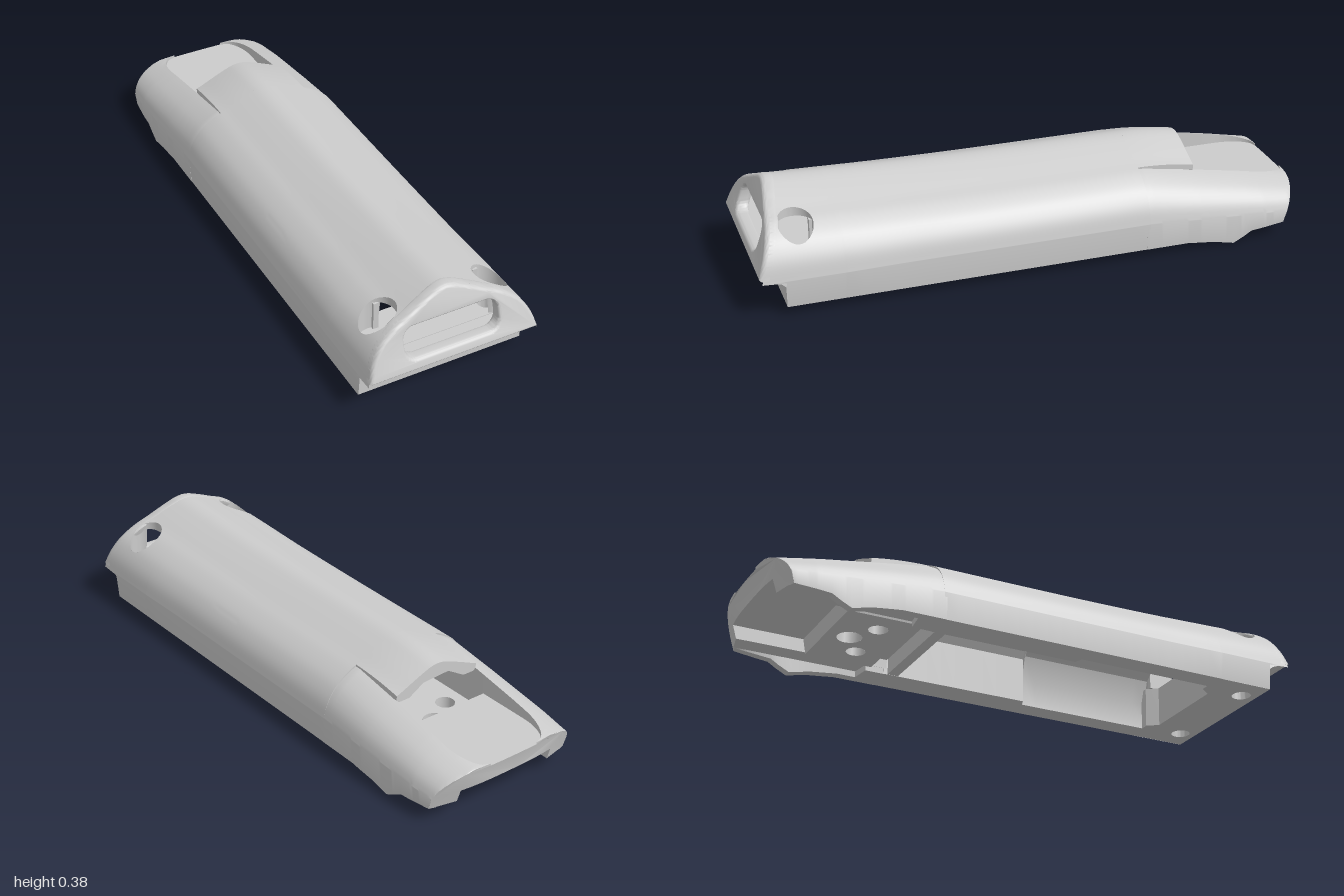
import * as THREE from 'three';
import { toCreasedNormals } from 'three/addons/utils/BufferGeometryUtils.js';

const mat = new THREE.MeshStandardMaterial({ color: 0xcccccc, side: THREE.DoubleSide });

// piecewise linear lookup in [[key, value], ...] with rising keys
function lerpTable(t, k) {
  if (k <= t[0][0]) return t[0][1];
  for (let i = 1; i < t.length; i++) {
    if (k <= t[i][0]) {
      const [a, b] = [t[i - 1], t[i]];
      return a[1] + (b[1] - a[1]) * (k - a[0]) / (b[0] - a[0]);
    }
  }
  return t[t.length - 1][1];
}
const range = (a, b, n) => Array.from({ length: n + 1 }, (_, i) => a + (b - a) * i / n);

// dome profile: relative height against relative half width
const domeTable = new THREE.SplineCurve([[0, 1], [0.025, 0.987], [0.05, 0.95], [0.1, 0.86], [0.15, 0.762], [0.2, 0.67],
  [0.25, 0.525], [0.28, 0.375], [0.3, 0.21], [0.313, 0]].map(([x, h]) => new THREE.Vector2(x / 0.313, h)))
  .getPoints(160).map(p => [p.x, p.y]);
const halfWidth = z => lerpTable([[-1, 0.296], [-0.85, 0.308], [-0.6, 0.313], [0.5, 0.313], [0.7, 0.317]], z);
const domeH = (x, z) => lerpTable(domeTable, Math.min(1, Math.abs(x) / halfWidth(z)));
const domeY = (x, z) => 0.13 + domeH(x, z) * (0.225 + 0.0295 * Math.min(0.92, Math.max(0, z)) ** 2);
const bottomY = z => lerpTable([[-0.93, 0.05], [-0.8, 0.038], [-0.77, 0.02], [-0.73, 0], [-0.65, 0.018], [-0.55, 0.03]], z);
const frontZ = y => 1 - (y - 0.15) * 0.348;

// rear flanks sink towards the tail
const rearY = (x, z) => {
  const base = lerpTable([[-1, 0.09], [-0.4, 0.13]], z);
  const seam = lerpTable([[-1, 0.18], [-0.8, 0.22], [-0.6, 0.255], [-0.42, 0.285]], z);
  return base + Math.min(1, domeH(x, z) / 0.72) * (seam - base);
};
// recessed deck: height, and half width with rounded rear corners
const deckY = z => (z < -0.655 ? 0.172 : 0.11);
const deckW = z => 0.1 + 0.074 * Math.sqrt(Math.max(0, 1 - (Math.max(0, -0.86 - z) / 0.14) ** 2));

// Loft columns {x(z), y(x,z)} over stations zs; grid points inside a round hole move to its rim
function loft(cols, zs, { closed = false, holes = [], limit = (x, y, z) => z } = {}) {
  const pos = [], inside = [], idx = [], n = cols.length;
  for (const z0 of zs) {
    for (const c of cols) {
      let z = z0, x = c.x(z0), cut = false;
      for (const [hx, hz, r] of holes) {
        const d = Math.hypot(x - hx, z - hz);
        if (d < r && d > 0) {
          x = hx + (x - hx) * r / d;
          z = hz + (z - hz) * r / d;
          cut = true;
        } else if (d === 0) { x += r; cut = true; }
      }
      const y = c.y(x, z);
      pos.push(x, y, limit(x, y, z));
      inside.push(cut);
    }
  }
  const tri = (a, b, c) => { if (!(inside[a] && inside[b] && inside[c])) idx.push(a, b, c); };
  for (let j = 0; j < zs.length - 1; j++) {
    for (let i = 0; i < (closed ? n : n - 1); i++) {
      const a = j * n + i, b = j * n + (i + 1) % n;
      tri(a, b, a + n);
      tri(b, b + n, a + n);
    }
  }
  for (const j of closed ? [0, zs.length - 1] : []) {
    const ring = range(0, n - 1, n - 1).map(i => new THREE.Vector2(pos[(j * n + i) * 3], pos[(j * n + i) * 3 + 1]));
    for (const t of THREE.ShapeUtils.triangulateShape(ring, [])) idx.push(...t.map(i => j * n + i));
  }
  const g = new THREE.BufferGeometry();
  g.setAttribute('position', new THREE.Float32BufferAttribute(pos, 3));
  g.setIndex(idx);
  return toCreasedNormals(g, 0.5);
}

const shapeOf = pts => new THREE.Shape(pts.map(p => new THREE.Vector2(...p)));
const mirrored = pts => [...pts, ...pts.slice().reverse().map(([x, y]) => [-x, y])];
function moveVertices(g, rule) {
  const p = g.attributes.position, v = new THREE.Vector3();
  for (let i = 0; i < p.count; i++) {
    rule(v.fromBufferAttribute(p, i));
    p.setXYZ(i, v.x, v.y, v.z);
  }
  return toCreasedNormals(g, 0.5);
}

export function createModel() {
  const group = new THREE.Group();
  const add = (name, g) => {
    const m = new THREE.Mesh(g, mat);
    m.name = name;
    group.add(m);
    return m;
  };

  // outer skin columns, from left edge over the ridge to right edge
  const sideCols = s => [
    { x: () => s * 0.309, y: (x, z) => bottomY(z) },
    { x: z => s * halfWidth(z), y: () => 0.125 }];
  const skin = [...sideCols(1),
    ...range(1, -1, 64).map(t => ({ x: z => halfWidth(z) * Math.sin(t * Math.PI / 2), y: domeY })),
    ...sideCols(-1).reverse()];

  // main body: outer skin, bottom rails and the hollow beneath
  const frontHollow = [[0.23, 0.03], [0.23, 0.13], [0.2, 0.215], [0.13, 0.27], [0.05, 0.295]];
  const rearHollow = [[0.2, 0.03], [0.2, 0.2], [0.17, 0.245], [0.12, 0.245], [0.05, 0.285]];
  const a = mirrored(frontHollow), b = mirrored(rearHollow);
  const hollow = a.map((p, i) => ({
    x: z => (z > 0.165 ? a : b)[i][0], y: (x, z) => (z > 0.165 ? a : b)[i][1] })).reverse();
  add('mainBody', loft([...skin, ...hollow],
    [...range(0.7, 0.17, 10), ...range(0.16, -0.4, 10)], { closed: true }));

  // front skin with the two screw openings, and the ceiling behind the slot
  const wells = [1, -1].map(s => [s * 0.21, 0.85, 0.062]);
  add('frontSkin', loft(skin, range(0.7, 1, 32), { holes: wells,
    limit: (x, y, z) => Math.min(z, y < 0.128 ? 0.91 : frontZ(y) - 0.015) }));
  add('slotCeiling', loft(range(-0.2, 0.2, 40).map(x => ({ x: () => x, y: () => 0.286 })),
    range(0.7, 0.93, 24), { holes: wells }));

  // slanted front face with its rounded slot
  const face = shapeOf([[-0.315, 0.142], [0.315, 0.142],
    ...range(0.88, -0.88, 50).map(t => {
      const x = 0.317 * Math.sin(t * Math.PI / 2);
      return [x, domeY(x, 0.92)];
    })]);
  const slot = new THREE.Path();
  for (const [x, y, k] of [[0.135, 0.245, 0], [-0.135, 0.245, 1], [-0.135, 0.22, 2], [0.135, 0.22, 3]])
    slot.absarc(x, y, 0.04, k * Math.PI / 2, (k + 1) * Math.PI / 2);
  slot.closePath();
  face.holes.push(slot);
  add('frontFace', moveVertices(new THREE.ExtrudeGeometry(face, {
    depth: 0.02, bevelSize: 0.011, bevelThickness: 0.014, bevelOffset: -0.011, bevelSegments: 4, curveSegments: 10,
  }), v => { v.z += frontZ(v.y) - 0.034; }));

  // overhanging lip below the slot
  const lip = new THREE.ExtrudeGeometry(
    shapeOf([[0.88, 0.106], [0.91, 0.106], [0.925, 0.12], [0.985, 0.143], [0.965, 0.178], [0.88, 0.178]]),
    { depth: 0.624, bevelEnabled: false });
  lip.rotateY(-Math.PI / 2).translate(0.312, 0, 0);
  add('frontLip', moveVertices(lip, v => { if (v.y > 0.15) v.x *= 0.96; }));

  // front mounting block with bores and a notched inner edge
  const block = shapeOf([[-0.308, -0.91], [0.308, -0.91], [0.308, -0.69], [0.2, -0.69], [0.17, -0.73],
    [-0.17, -0.73], [-0.2, -0.69], [-0.308, -0.69]]);
  for (const [x, z] of wells) block.holes.push(new THREE.Path().absarc(x, -z, 0.035, 0, Math.PI * 2));
  const blockGeo = new THREE.ExtrudeGeometry(block, { depth: 0.15, bevelEnabled: false, curveSegments: 20 });
  blockGeo.rotateX(-Math.PI / 2).translate(0, 0.03, 0);
  add('mountingBlock', moveVertices(blockGeo, v => { if (v.y > 0.1) v.x *= 0.975; }));

  // screw wells, open towards the slot, and the slot's side walls
  for (const [wx, wz, r] of wells) {
    const well = new THREE.CylinderGeometry(r, r, 1, 48, 1, true);
    add('screwWell', moveVertices(well, v => {
      v.x += wx;
      v.z += wz;
      v.y = v.y > 0 ? domeY(v.x, v.z) : Math.abs(v.x) > 0.175 ? 0.18 : 0.286;
    }));
    add('slotWall', new THREE.BoxGeometry(0.02, 0.106, 0.1)).position.set(Math.sign(wx) * 0.186, 0.233, 0.75);
  }

  // hood over the rear opening
  const hood = shapeOf([...range(0.175, -0.175, 30).map(x => [x, domeY(x, -0.4)]),
    [-0.175, 0.255], [-0.165, 0.245], [-0.12, 0.245], [-0.05, 0.287],
    [0.05, 0.287], [0.12, 0.245], [0.165, 0.245], [0.175, 0.255]]);
  add('hood', moveVertices(new THREE.ExtrudeGeometry(hood, { depth: 0.215, steps: 8, bevelEnabled: false }),
    v => {
      v.z -= 0.615;
      if (v.y > 0.29) v.y -= 0.02 * ((-0.4 - v.z) / 0.215) ** 2;
    }));

  // rear body: sinking flanks, recessed deck, feet, and an underside with a cross groove and tail recess
  const flank = s => [
    { x: z => s * (halfWidth(z) - 0.003), y: (x, z) => bottomY(z) },
    ...range(1, 0, 14).map(t => ({
      x: z => s * (deckW(z) + 0.001 + (halfWidth(z) - deckW(z) - 0.001) * Math.sin(t * Math.PI / 2)), y: rearY }))];
  const underY = (x, z) => (z < -0.7 ? 0.1 : z > -0.45 ? 0.085 : 0.045);
  const foot = s => [
    { x: z => s * (z > -0.48 ? 0.202 : 0.275), y: (x, z) => bottomY(z) },
    { x: z => s * (z > -0.48 ? 0.201 : 0.273), y: () => 0.052 },
    { x: () => s * 0.2, y: () => 0.052 }];
  const bores = [[0, -0.615, 0.045], [0.1, -0.55, 0.035], [-0.1, -0.55, 0.035]];
  const rearCols = [...flank(1),
    ...range(1, -1, 29).map(t => ({ x: z => t * deckW(z), y: (x, z) => deckY(z) })),
    ...flank(-1).reverse(), ...foot(-1),
    ...range(-0.198, 0.198, 33).map(x => ({ x: () => x, y: underY })),
    ...foot(1).reverse()];
  add('rearBody', loft(rearCols, range(-0.39, -1, 61), {
    closed: true, holes: bores,
    limit: (x, y, z) => Math.max(z, -1 + 0.035 * (Math.abs(x) / 0.3) ** 3 + Math.max(0, 0.17 - y) * 0.3) }));
  for (const [x, z, r] of bores)
    add('rearBore', new THREE.CylinderGeometry(r, r, 0.065, 24, 1, true)).position.set(x, 0.0775, z);

  // crossbar closing the hollow
  add('crossbar', new THREE.BoxGeometry(0.42, 0.08, 0.04)).position.set(0, 0.071, -0.365);
  return group;
}
